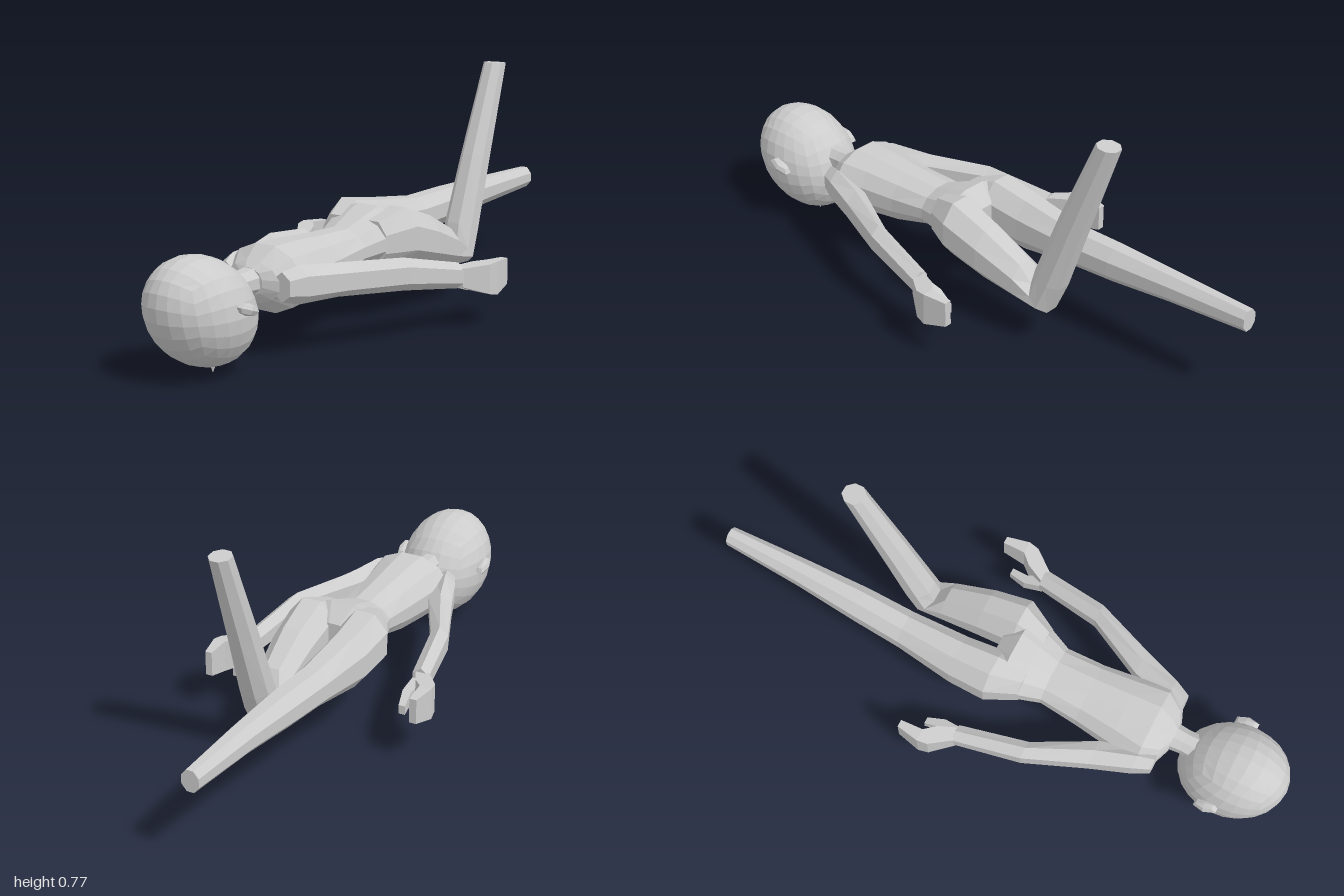
import * as THREE from 'three';

const material = new THREE.MeshStandardMaterial({ color: 0xcccccc, flatShading: true, side: THREE.DoubleSide });

// Skin a limb through rings running toward -z: [x, y, z, halfWidth, halfHeight, tilt in degrees]
function loft(name, rings, n = 8) {
  const pos = [], index = [];
  for (const [x, y, z, rx, ry, tilt = 0] of rings) {
    const t = THREE.MathUtils.degToRad(tilt), k = 1 / Math.cos(Math.PI / n);
    for (let j = 0; j < n; j++) {
      const a = (j + 0.5) * 2 * Math.PI / n;
      const v = Math.sin(a) * ry * k;
      pos.push(x + Math.cos(a) * rx * k, y + v * Math.cos(t), z + v * Math.sin(t));
    }
  }
  const last = (rings.length - 1) * n;
  for (let i = 0; i < last; i += n) {
    for (let j = 0; j < n; j++) {
      const a = i + j, b = i + (j + 1) % n;
      index.push(a, a + n, b + n, a, b + n, b);
    }
  }
  // End caps
  for (let j = 1; j < n - 1; j++) {
    index.push(0, j, j + 1, last, last + j + 1, last + j);
  }
  const g = new THREE.BufferGeometry();
  g.setAttribute('position', new THREE.Float32BufferAttribute(pos, 3));
  g.setIndex(index);
  return part(name, g);
}

function part(name, geometry) {
  const g = geometry.index ? geometry.toNonIndexed() : geometry;
  g.computeVertexNormals();
  const mesh = new THREE.Mesh(g, material);
  mesh.name = name;
  return mesh;
}

// Cube grid pushed out to a leaning ellipsoid
function makeHead() {
  const g = new THREE.BoxGeometry(2, 2, 2, 6, 6, 6);
  const p = g.attributes.position, v = new THREE.Vector3();
  for (let i = 0; i < p.count; i++) {
    v.fromBufferAttribute(p, i);
    v.set(Math.tan(v.x * Math.PI / 4), Math.tan(v.y * Math.PI / 4), Math.tan(v.z * Math.PI / 4)).normalize();
    p.setXYZ(i, v.x * 0.153, 0.198 + v.y * 0.172, 0.818 + v.z * 0.178 + v.y * 0.04);
  }
  return part('head', g);
}

export function createModel() {
  const model = new THREE.Group();
  model.name = 'lyingFigure';

  // Head, nose and neck
  model.add(makeHead());
  const nose = part('nose', new THREE.ConeGeometry(0.022, 0.05, 4));
  nose.rotation.x = Math.PI;
  nose.position.set(0, 0.025, 0.77);
  model.add(nose);
  model.add(loft('neck', [
    [0, 0.235, 0.72, 0.04, 0.04],
    [0, 0.24, 0.64, 0.038, 0.038],
    [0, 0.24, 0.56, 0.045, 0.045],
  ]));

  // Torso from the collar to the crotch
  model.add(loft('torso', [
    [0, 0.24, 0.605, 0.05, 0.042],
    [0, 0.235, 0.585, 0.1, 0.062],
    [0, 0.235, 0.53, 0.14, 0.103],
    [0, 0.235, 0.43, 0.122, 0.1],
    [0, 0.238, 0.3, 0.105, 0.088],
    [0, 0.255, 0.17, 0.098, 0.066],
    [0, 0.27, 0.1, 0.125, 0.078],
    [0, 0.28, 0.03, 0.155, 0.092],
    [0, 0.265, -0.03, 0.07, 0.055],
  ], 12));

  // Straight leg
  model.add(loft('rightLeg', [
    [-0.075, 0.27, 0.1, 0.05, 0.07],
    [-0.097, 0.28, 0, 0.079, 0.093],
    [-0.097, 0.262, -0.13, 0.072, 0.088],
    [-0.086, 0.262, -0.33, 0.058, 0.062],
    [-0.08, 0.27, -0.5, 0.054, 0.058],
    [-0.075, 0.28, -0.72, 0.042, 0.046],
    [-0.073, 0.285, -1, 0.029, 0.035],
  ]));

  // Leg bent up at the knee
  model.add(loft('leftLeg', [
    [0.075, 0.27, 0.1, 0.05, 0.07],
    [0.097, 0.28, 0, 0.079, 0.093],
    [0.097, 0.24, -0.13, 0.072, 0.085],
    [0.09, 0.19, -0.27, 0.06, 0.062],
    [0.086, 0.16, -0.345, 0.055, 0.052, 40],
    [0.083, 0.24, -0.375, 0.053, 0.052, 70],
    [0.08, 0.46, -0.455, 0.045, 0.047, 72],
    [0.076, 0.765, -0.572, 0.034, 0.037, 85],
  ]));

  // Ears, arms and hands on both sides
  for (const s of [1, -1]) {
    const side = s > 0 ? 'left' : 'right';
    const lift = s > 0 ? 0 : 0.022;
    const mirror = rings => rings.map(([x, y, z, ...r]) => [s * x, z < 0 ? y + lift : y, z, ...r]);

    const ear = part(side + 'Ear', new THREE.SphereGeometry(1, 6, 4));
    ear.scale.set(0.022, 0.019, 0.047);
    ear.rotation.x = -0.35;
    ear.position.set(s * 0.155, 0.222, 0.79);
    model.add(ear);

    model.add(loft(side + 'Arm', mirror([
      [0.11, 0.235, 0.585, 0.03, 0.04],
      [0.13, 0.235, 0.53, 0.036, 0.052],
      [0.172, 0.23, 0.4, 0.043, 0.046],
      [0.265, 0.22, 0.2, 0.031, 0.045],
      [0.31, 0.175, -0.03, 0.029, 0.036],
    ]), 6));
    model.add(loft(side + 'Hand', mirror([
      [0.312, 0.172, -0.02, 0.024, 0.03],
      [0.355, 0.162, -0.09, 0.034, 0.048],
      [0.374, 0.16, -0.125, 0.021, 0.054],
      [0.368, 0.165, -0.203, 0.012, 0.042],
    ]), 4));
    model.add(loft(side + 'Thumb', mirror([
      [0.305, 0.16, -0.02, 0.022, 0.022],
      [0.29, 0.137, -0.085, 0.015, 0.022],
      [0.302, 0.123, -0.145, 0.011, 0.015],
    ]), 4));
  }
  return model;
}
